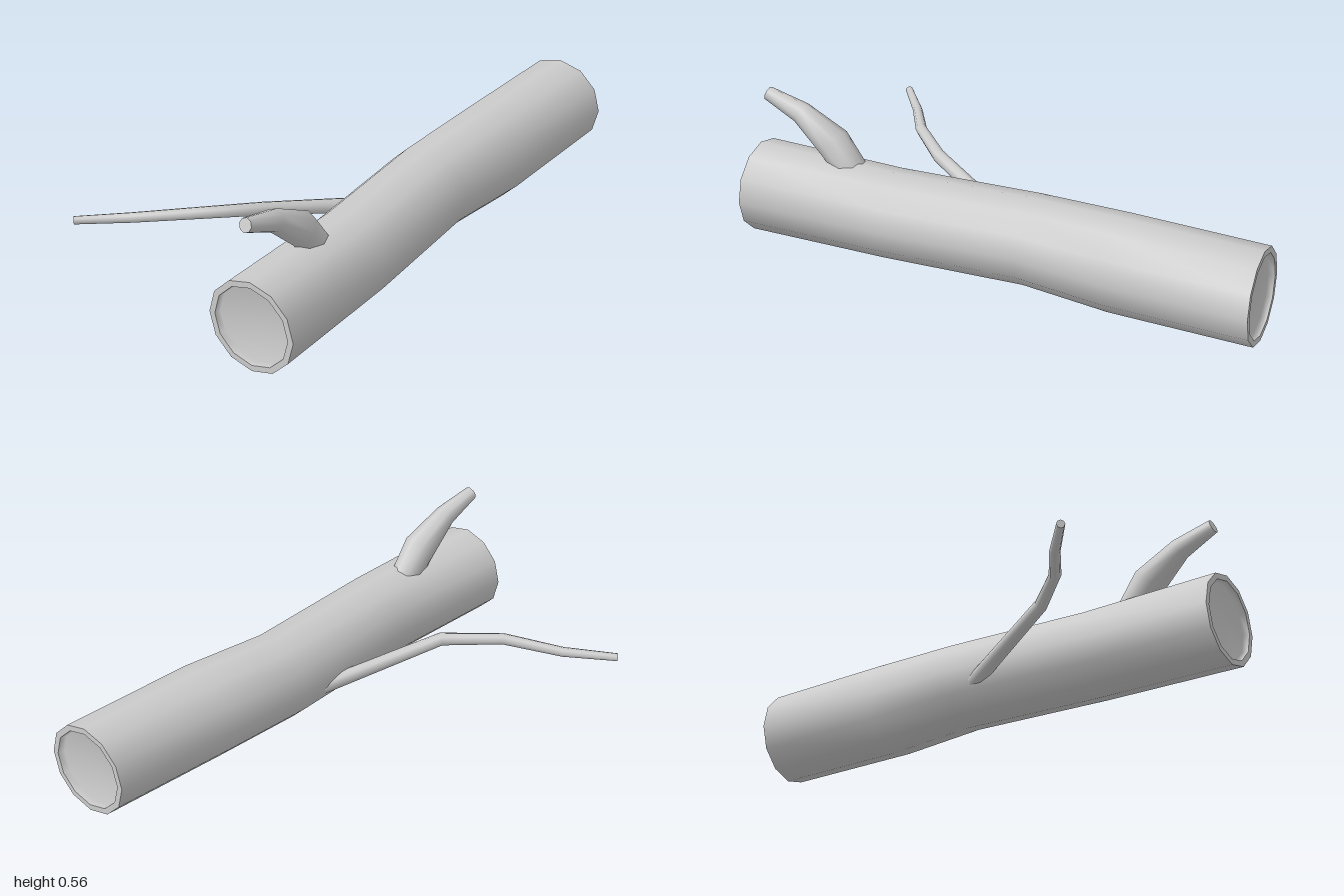
import * as THREE from 'three';

const material = new THREE.MeshStandardMaterial({ color: 0xcccccc });
const V = (x, y, z) => new THREE.Vector3(x, y, z);

// Skin of quads through rings of points, closed around; smooth normals
function skin(rings) {
  const n = rings[0].length, pos = [], idx = [];
  rings.forEach(r => r.forEach(p => pos.push(p.x, p.y, p.z)));
  for (let k = 0; k < rings.length - 1; k++) {
    for (let i = 0; i < n; i++) {
      const j = (i + 1) % n;
      const a = k * n + i, b = k * n + j, c = a + n, d = b + n;
      idx.push(a, b, d, a, d, c);
    }
  }
  const g = new THREE.BufferGeometry();
  g.setAttribute('position', new THREE.Float32BufferAttribute(pos, 3));
  g.setIndex(idx);
  g.computeVertexNormals();
  return g;
}

// Ring of points around a centre, counter-clockwise seen against the axis
function ring(center, radius, axis, sides) {
  const dir = axis.clone().normalize();
  const right = V(0, 1, 0).cross(dir).normalize();
  const up = dir.clone().cross(right);
  return Array.from({ length: sides }, (_, i) => {
    const a = (i / sides) * Math.PI * 2;
    return center.clone()
      .addScaledVector(right, Math.cos(a) * radius)
      .addScaledVector(up, Math.sin(a) * radius);
  });
}

function addMesh(group, name, geometry) {
  const mesh = new THREE.Mesh(geometry, material);
  mesh.name = name;
  group.add(mesh);
}

// Tapered limb along a bent path; stations are [x, y, z, radius]
function limb(name, stations, sides) {
  const group = new THREE.Group();
  group.name = name;
  const pts = stations.map(s => V(s[0], s[1], s[2]));
  const last = pts.length - 1;
  const rings = pts.map((p, i) => {
    const before = p.clone().sub(pts[Math.max(i - 1, 0)]).normalize();
    const after = pts[Math.min(i + 1, last)].clone().sub(p).normalize();
    return ring(p, stations[i][3], before.add(after), sides);
  });
  addMesh(group, name + 'Bark', skin(rings));
  const tip = rings[last];
  addMesh(group, name + 'Tip', skin([tip, tip.map(() => pts[last].clone())]));
  return group;
}

function createTrunk() {
  const group = new THREE.Group();
  group.name = 'trunk';
  // Stations: x, y, z, radius, sideways tilt of the section
  const stations = [
    [0.285, 0.182, -0.98, 0.175, 0.1],
    [0.295, 0.18, -0.45, 0.178, 0],
    [0.286, 0.179, -0.1, 0.166, 0.06],
    [0.343, 0.178, 0.44, 0.166, 0.06],
    [0.366, 0.177, 0.99, 0.172, 0.043],
  ];
  const section = ([x, y, z, r, tilt], scale = 1, shift = 0) =>
    ring(V(x, y, z + shift), r * scale, V(tilt, 0, 1), 12);
  addMesh(group, 'trunkBark', skin(stations.map(s => section(s))));

  // Cut ends: narrow rim around a shallow recess
  for (const [name, s, side] of [['backEnd', stations[0], -1], ['frontEnd', stations[4], 1]]) {
    const order = rings => (side > 0 ? rings : rings.reverse());
    addMesh(group, name + 'Rim', skin(order([section(s), section(s, 0.87)])));
    addMesh(group, name + 'Recess', skin(order([
      section(s, 0.87),
      section(s, 0.85, -side * 0.025),
      section(s, 0, -side * 0.025),
    ])));
  }
  return group;
}

export function createModel() {
  const model = new THREE.Group();
  model.name = 'log';
  model.add(createTrunk());
  // Short curved stub on top
  model.add(limb('stub', [
    [0.333, 0.29, 0.602, 0.056],
    [0.335, 0.402, 0.69, 0.063],
    [0.334, 0.493, 0.825, 0.041],
    [0.333, 0.54, 0.966, 0.026],
  ], 8));
  // Long thin twig on the right side
  model.add(limb('twig', [
    [0.19, 0.12, -0.02, 0.03],
    [-0.02, 0.243, 0.458, 0.025],
    [-0.18, 0.246, 0.628, 0.022],
    [-0.37, 0.22, 0.758, 0.019],
    [-0.528, 0.213, 0.89, 0.015],
  ], 8));
  return model;
}
